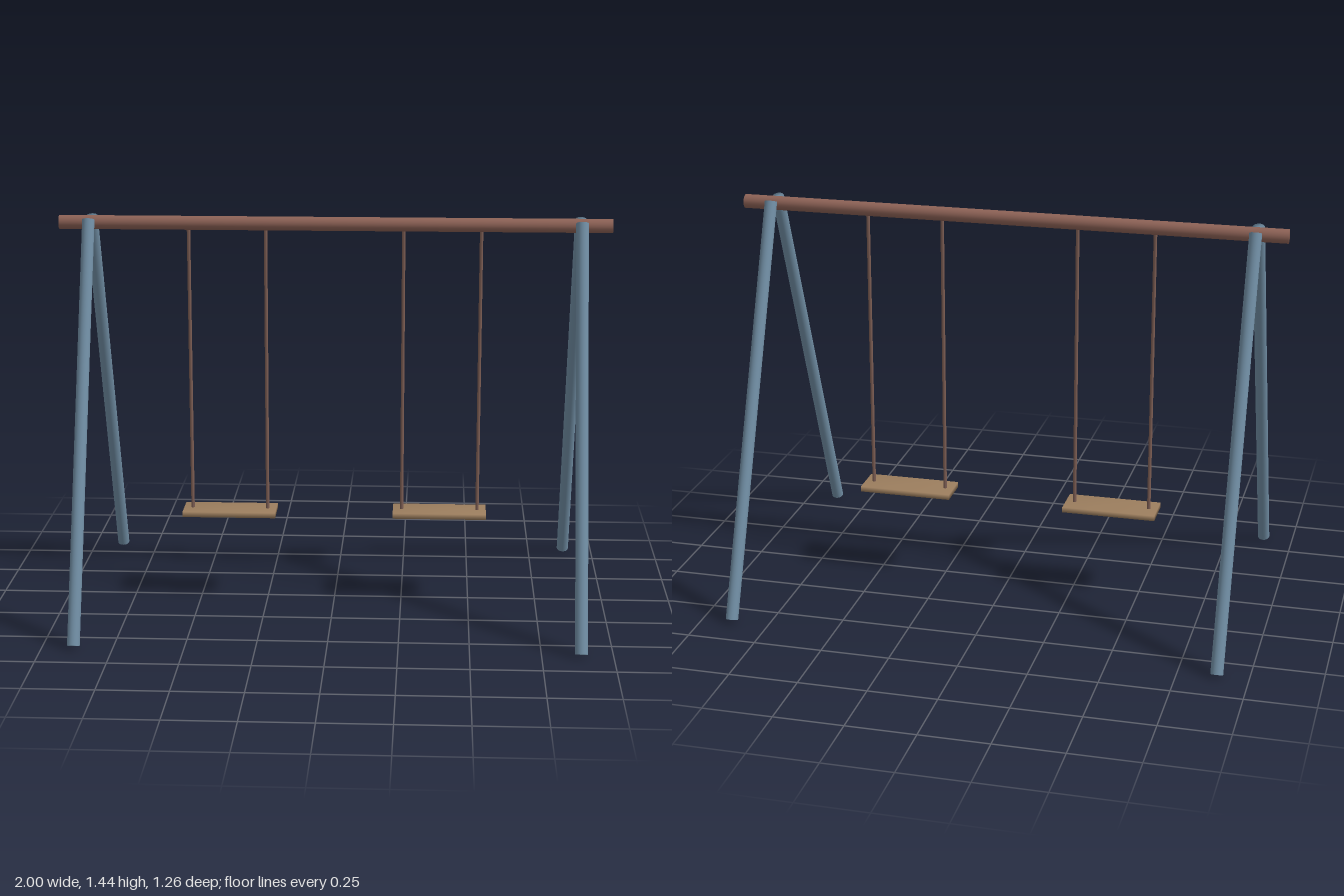
import * as THREE from 'three';
import { mergeVertices } from 'three/addons/utils/BufferGeometryUtils.js';

const material = (name, color) => {
  const m = new THREE.MeshStandardMaterial({ color });
  m.name = name;
  return m;
};

// Share normals across all edges for soft shading
function soften(geometry) {
  geometry.deleteAttribute('uv');
  geometry.deleteAttribute('normal');
  const merged = mergeVertices(geometry, 1e-4);
  merged.computeVertexNormals();
  return merged;
}

// Round bar running between two points
function bar(name, from, to, radius, sides, mat) {
  const a = new THREE.Vector3(...from), b = new THREE.Vector3(...to);
  const dir = b.clone().sub(a);
  const mesh = new THREE.Mesh(
    soften(new THREE.CylinderGeometry(radius, radius, dir.length(), sides)), mat);
  mesh.name = name;
  mesh.position.copy(a).add(b).multiplyScalar(0.5);
  mesh.quaternion.setFromUnitVectors(new THREE.Vector3(0, 1, 0), dir.normalize());
  return mesh;
}

export function createModel() {
  const beamBrown = material('beam brown', 0x8d6256);
  const steelBlue = material('steel blue', 0x6f8ca2);
  const ropeBrown = material('rope brown', 0x7c5d53);
  const seatTan = material('seat tan', 0x9c7e5e);

  const model = new THREE.Group();
  model.name = 'swingSet';
  const beamY = 1.413;

  // Top beam
  model.add(bar('topBeam', [-1, beamY, 0], [1, beamY, 0], 0.0255, 20, beamBrown));

  // Splayed legs at both ends
  for (const [side, x] of [['left', 0.888], ['right', -0.888]]) {
    for (const [end, s] of [['Front', 1], ['Back', -1]]) {
      model.add(bar(side + end + 'Leg', [x, 0.0087, s * 0.609], [x, 1.428, s * 0.038],
        0.0225, 20, steelBlue));
    }
  }

  // Two swings, each a plank hung on two ropes
  for (const [side, x, seatY] of [['left', 0.39, 0.336], ['right', -0.39, 0.331]]) {
    const swing = new THREE.Group();
    swing.name = side + 'Swing';
    const seat = new THREE.Mesh(soften(new THREE.BoxGeometry(0.345, 0.02, 0.132)), seatTan);
    seat.name = 'seat';
    seat.position.set(x, seatY, 0);
    swing.add(seat);
    for (const dx of [-0.14, 0.14]) {
      swing.add(bar('rope', [x + dx, seatY, 0], [x + dx, beamY, 0], 0.0065, 10, ropeBrown));
    }
    model.add(swing);
  }
  return model;
}
